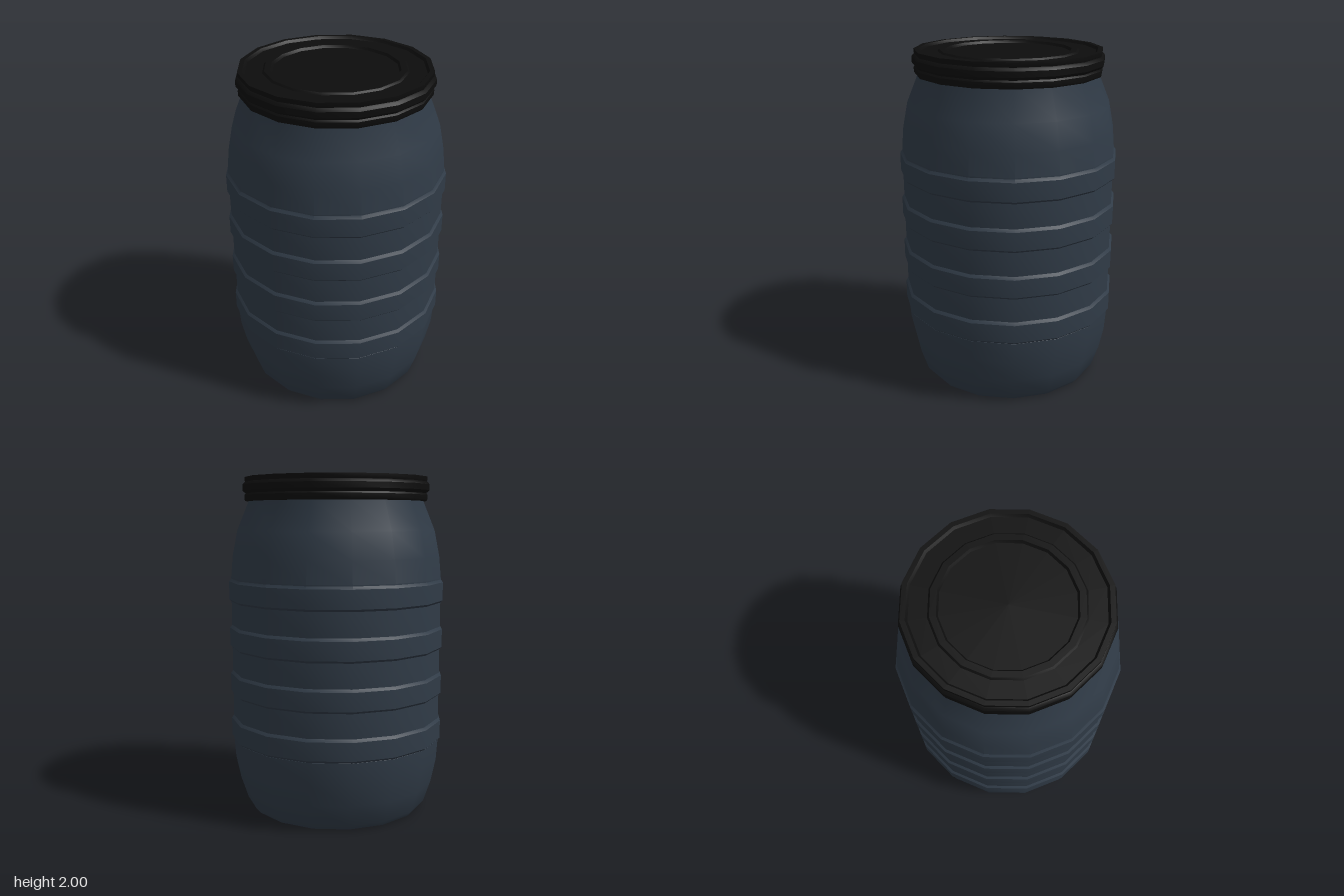
import * as THREE from 'three';
import { toCreasedNormals } from 'three/addons/utils/BufferGeometryUtils.js';

const SIDES = 16;
const TURN = THREE.MathUtils.degToRad(15.1); // the facets sit slightly turned about y

// Revolve a [radius, height] profile, keeping sharp edges sharp
function turned(name, profile, material) {
  const points = profile.map(([r, y]) => new THREE.Vector2(r, y));
  const geometry = toCreasedNormals(new THREE.LatheGeometry(points, SIDES, TURN), 0.6);
  const mesh = new THREE.Mesh(geometry, material);
  mesh.name = name;
  return mesh;
}

export function createModel() {
  const bluePlastic = new THREE.MeshStandardMaterial({ color: 0x303b47 });
  bluePlastic.name = 'slate blue plastic';
  const blackPlastic = new THREE.MeshStandardMaterial({ color: 0x0d0d0d });
  blackPlastic.name = 'black plastic';

  const barrel = new THREE.Group();
  barrel.name = 'barrel';

  // Body: rounded foot, four raised hoops, shoulder tapering to the neck
  const body = [[0, 0], [0.532, 0], [0.557, 0.03], [0.6, 0.16], [0.629, 0.3], [0.638, 0.425]];
  for (let i = 0; i < 4; i++) {
    const y = 0.425 + i * 0.28;
    body.push([0.637, y + 0.001], [0.65, y + 0.014], [0.65, y + 0.122], [0.637, y + 0.138]);
  }
  body.push([0.637, 1.41], [0.625, 1.54], [0.595, 1.69], [0.523, 1.865], [0.523, 1.88]);
  barrel.add(turned('body', body, bluePlastic));

  // Lid: overhanging skirt with a clamping ring and a shallow stepped top
  const lid = [
    [0.5, 1.86], [0.544, 1.86], [0.549, 1.868], [0.549, 1.895], [0.542, 1.905],
    [0.551, 1.912], [0.56, 1.922], [0.56, 1.955], [0.551, 1.967], [0.544, 1.972],
    [0.547, 1.98], [0.547, 2], [0.52, 2], [0.508, 1.985],
    [0.41, 1.985], [0.4, 1.995], [0.365, 1.995], [0.355, 1.98], [0, 1.98],
  ];
  barrel.add(turned('lid', lid, blackPlastic));

  return barrel;
}
